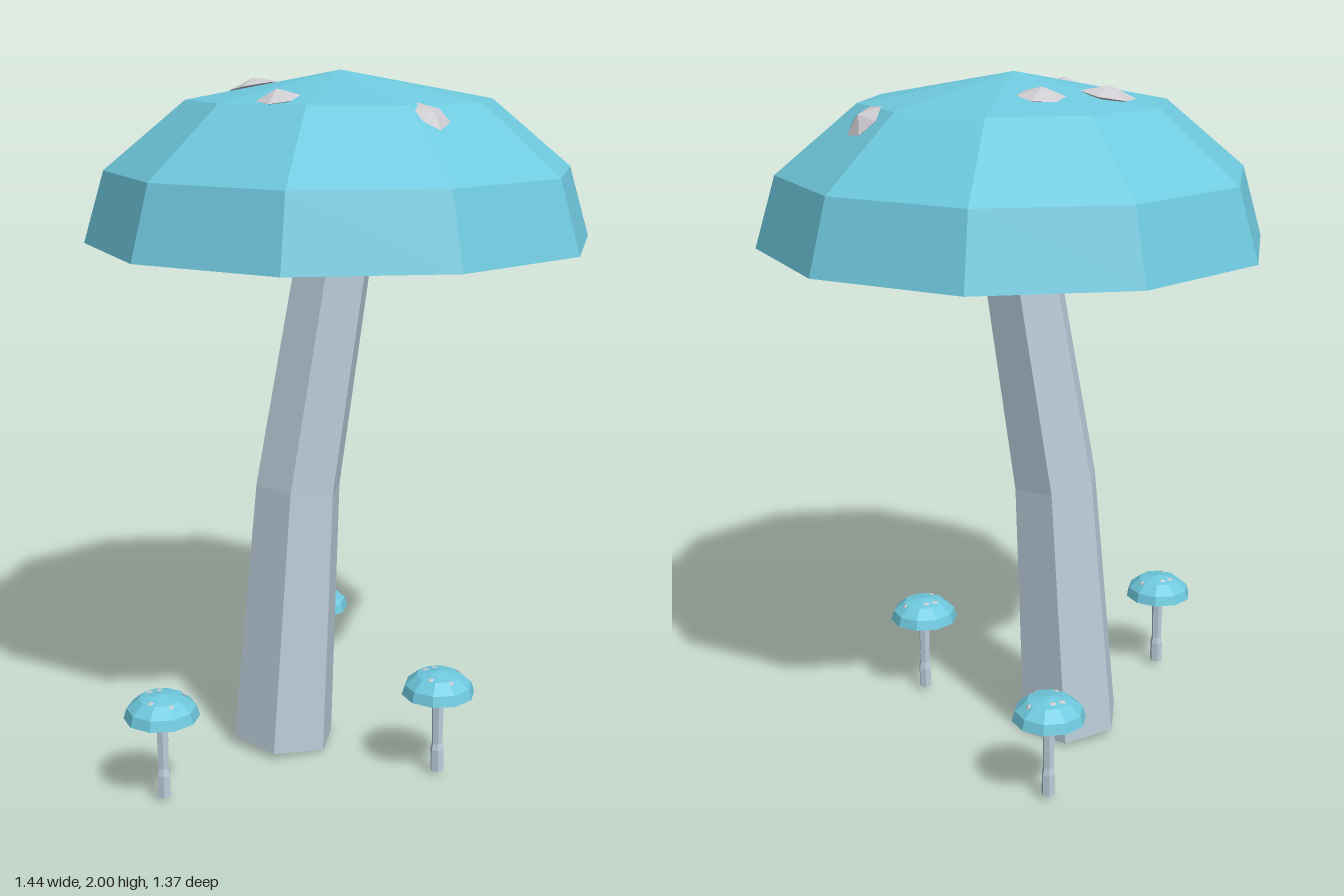
import * as THREE from 'three';

const flat = (name, color) => {
  const m = new THREE.MeshStandardMaterial({ color, flatShading: true });
  m.name = name;
  return m;
};

export function createModel() {
  const capBlue = flat('cap blue', 0x6fc9de);
  const gillBlue = flat('gill blue', 0x267aae);
  const stemGrey = flat('stem grey', 0xbccfdc);
  const spotGrey = flat('spot grey', 0xcdcbcf);

  const add = (parent, geometry, material, name) => {
    const mesh = new THREE.Mesh(geometry, material);
    mesh.name = name;
    parent.add(mesh);
    return mesh;
  };
  const lathe = (points, sides) =>
    new THREE.LatheGeometry(points.map(([r, y]) => new THREE.Vector2(r, y)), sides);

  // Ten-sided cap shells, shared by the large and the small mushrooms
  const shell = lathe([[0.58, 1.53], [0.72, 1.53], [0.66, 1.73], [0.43, 1.92], [0, 2]], 10);
  const gills = lathe([[0.22, 1.49], [0.58, 1.53]], 10);
  const collar = lathe([[0, 1.49], [0.22, 1.49]], 10);
  for (const g of [shell, gills, collar]) g.rotateY(Math.PI / 10);

  // Spots: x, y, z, half width, half depth, tilt away from upright
  const spots = [
    [-0.225, 1.95, -0.185, 0.078, 0.062, 0.2],
    [-0.035, 1.955, -0.245, 0.066, 0.06, 0.2],
    [0.42, 1.89, -0.17, 0.058, 0.06, 0.75],
    [-0.195, 1.935, 0.3, 0.058, 0.054, 0.25],
    [0.18, 1.892, 0.412, 0.058, 0.05, 0.7],
  ];
  const gem = new THREE.SphereGeometry(1, 6, 2);

  const makeCap = () => {
    const cap = new THREE.Group();
    cap.name = 'cap';
    add(cap, shell, capBlue, 'capShell');
    add(cap, gills, gillBlue, 'gills');
    add(cap, collar, capBlue, 'capCollar');
    for (const [x, y, z, w, d, tilt] of spots) {
      const spot = add(cap, gem, spotGrey, 'spot');
      spot.position.set(x, y, z);
      spot.scale.set(w, 0.025, d);
      // Lean outward along the slope of the cap
      const axis = new THREE.Vector3(z, 0, -x).normalize();
      spot.quaternion.setFromAxisAngle(axis, tilt);
    }
    return cap;
  };

  const model = new THREE.Group();
  model.name = 'mushrooms';

  // Large mushroom: six-sided stem bent through three rings
  const large = new THREE.Group();
  large.name = 'largeMushroom';
  model.add(large);
  const rings = [
    { x: -0.176, y: 0.015, r: 0.156 },
    { x: -0.125, y: 0.81, r: 0.13 },
    { x: -0.012, y: 1.52, r: 0.114 },
  ];
  const stem = new THREE.CylinderGeometry(1, 1, 2, 6, 2, false, Math.PI / 4);
  const p = stem.attributes.position;
  for (let i = 0; i < p.count; i++) {
    const ring = rings[Math.round(p.getY(i) + 1)];
    const dx = p.getX(i) * ring.r;
    p.setXYZ(i, ring.x + dx, ring.y - 0.1 * dx, p.getZ(i) * ring.r);
  }
  stem.computeVertexNormals();
  add(large, stem, stemGrey, 'stem');
  large.add(makeCap());

  // Small mushrooms around the base
  const smallStem = lathe(
    [[0, 0.015], [0.02, 0.015], [0.02, 0.08], [0.016, 0.1], [0.019, 0.252]], 6);
  for (const [x, z] of [[-0.54, 0.36], [0.25, 0.29], [-0.035, -0.43]]) {
    const small = new THREE.Group();
    small.name = 'smallMushroom';
    small.position.set(x, 0, z);
    add(small, smallStem, stemGrey, 'smallStem');
    const cap = makeCap();
    cap.scale.setScalar(0.147);
    cap.position.y = 0.031;
    small.add(cap);
    model.add(small);
  }
  return model;
}
